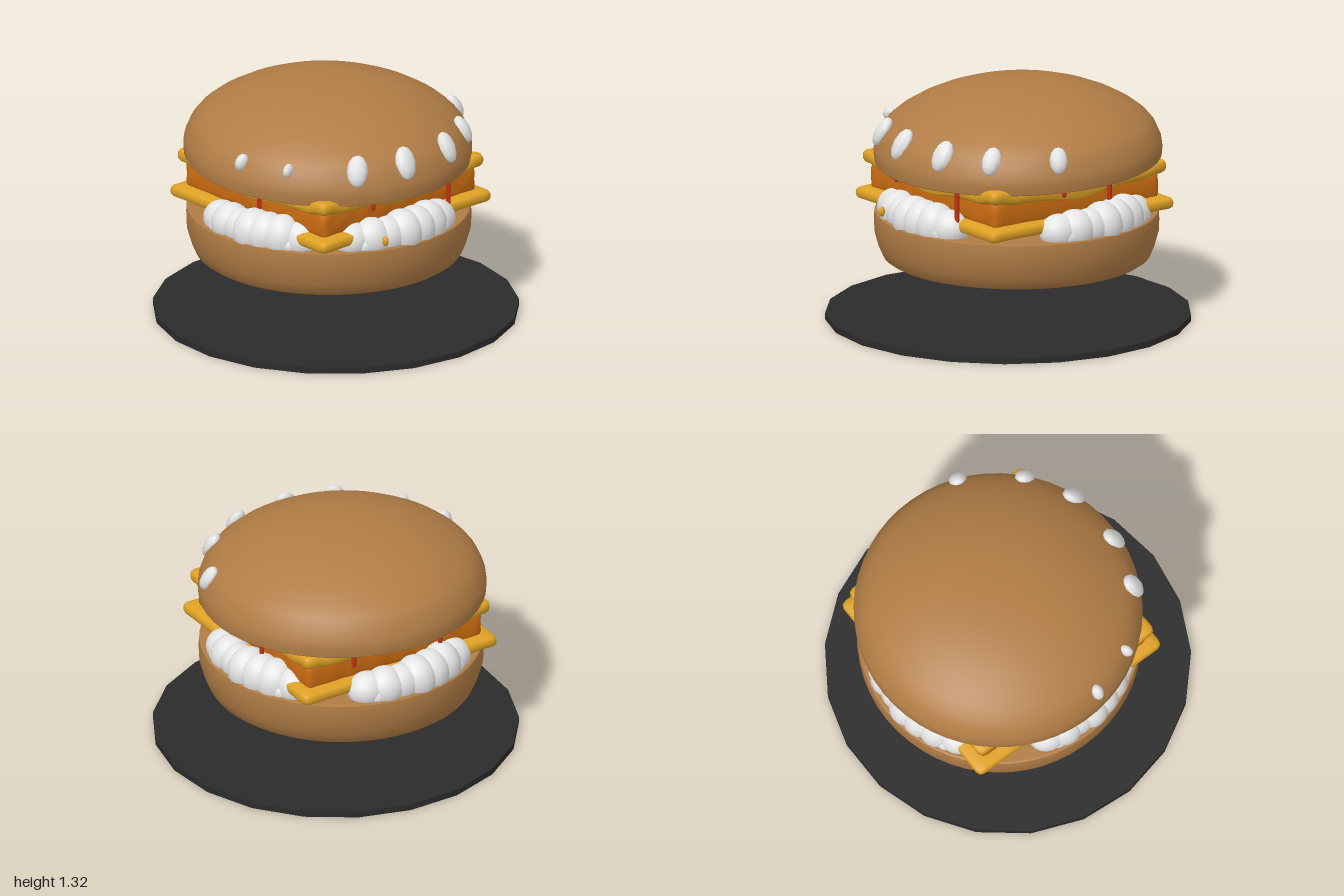
import * as THREE from 'three';
import { mergeVertices } from 'three/addons/utils/BufferGeometryUtils.js';

const mat = (name, color) => Object.assign(new THREE.MeshStandardMaterial({ color }), { name });

// Finely divided box with rounded edges, then bent by a rule on each vertex
function softBox(w, h, d, r, bend) {
  let g = new THREE.BoxGeometry(w, h, d, 36, 4, 36);
  g.deleteAttribute('uv');
  g.deleteAttribute('normal');
  g = mergeVertices(g);
  const p = g.attributes.position;
  const v = new THREE.Vector3();
  const core = new THREE.Vector3();
  const limit = new THREE.Vector3(w / 2 - r, h / 2 - r, d / 2 - r);
  for (let i = 0; i < p.count; i++) {
    v.fromBufferAttribute(p, i);
    core.copy(v).clamp(limit.clone().negate(), limit);
    v.sub(core);
    if (v.length() > 0) v.setLength(r);
    v.add(core);
    bend(v);
    p.setXYZ(i, v.x, v.y, v.z);
  }
  g.computeVertexNormals();
  return g;
}

const lathe = pts => new THREE.LatheGeometry(pts.map(([x, y]) => new THREE.Vector2(x, y)), 56);

export function createModel() {
  const model = new THREE.Group();
  const bun = mat('toasted bun', 0xb07c45);
  const cheese = mat('yellow cheese', 0xdda024);
  const patty = mat('orange patty', 0xcb6c10);
  const cream = mat('white cream', 0xe4e4e4);
  const sauce = mat('red sauce', 0xc03212);
  const black = mat('black plate', 0x2b2b2b);

  const add = (name, geo, material, x = 0, y = 0, z = 0, parent = model) => {
    const m = new THREE.Mesh(geo, material);
    m.name = name;
    m.position.set(x, y, z);
    parent.add(m);
    return m;
  };
  const group = (name, parent = model) => {
    const g = new THREE.Group();
    g.name = name;
    parent.add(g);
    return g;
  };

  // Plate
  add('plate', new THREE.CylinderGeometry(1, 1, 0.035, 21), black, 0, 0.0175, 0);

  // Bottom bun and its pale underside
  add('bottomBun', lathe([[0, 0.33], [0.68, 0.33], [0.7, 0.332], [0.73, 0.352], [0.755, 0.41],
    [0.775, 0.48], [0.778, 0.55], [0.775, 0.594], [0.772, 0.6], [0.76, 0.601], [0, 0.601]]), bun, 0, 0, -0.057);
  add('bunUnderside', new THREE.CylinderGeometry(0.64, 0.64, 0.008, 40), cream, 0, 0.33, -0.057);

  // Top bun, tipped slightly forward, with seeds
  const topBun = add('topBun', lathe([[0, 0], [0.775, 0], [0.782, 0], [0.785, 0.005], [0.788, 0.05], [0.783, 0.09],
    [0.755, 0.16], [0.72, 0.205], [0.66, 0.255], [0.57, 0.308], [0.48, 0.348], [0.38, 0.382],
    [0.26, 0.408], [0.13, 0.421], [0, 0.424]]), bun, 0, 0.893, -0.067);
  topBun.rotation.x = 0.03;
  const seeds = group('seeds');
  [[-0.74, 0.05, 0.55], [-0.645, 0.32, 0.45], [-0.37, 0.58, 1], [-0.09, 0.66, 1.05],
    [0.24, 0.635, 1], [0.49, 0.49, 0.9], [0.7, 0.19, 0.85]].forEach(([x, z, s]) => {
    const seed = add('seed', new THREE.SphereGeometry(1, 9, 6), cream, x, 1.06, z, seeds);
    seed.rotation.order = 'YXZ';
    seed.rotation.set(-0.5, Math.atan2(x, z + 0.065), -0.15);
    seed.scale.set(0.06 * s, 0.09 * s, 0.04);
  });

  // Cheese slices and patty
  const cz = -0.043;
  add('lowerCheese', softBox(1.255, 0.072, 1.255, 0.034, v => {
    v.y += 0.006 * Math.cos(v.x * 7) * Math.cos(v.z * 7);
  }), cheese, 0, 0.664, cz);
  add('patty', softBox(1.13, 0.17, 1.13, 0.03, v => {
    const k = 1 + 0.006 * Math.sin(v.x * 41 + v.y * 60) * Math.sin(v.z * 37 + v.y * 45);
    v.x *= k;
    v.z *= k;
  }), patty, 0, 0.763, cz);
  add('upperCheese', softBox(1.2, 0.08, 1.2, 0.036, v => {
    const along = Math.min(Math.abs(v.x), Math.abs(v.z));
    const edge = Math.max(Math.abs(v.x), Math.abs(v.z)) / 0.6;
    const dip = 0.036 * Math.exp(-((along / 0.2) ** 2));
    const corner = 0.022 * THREE.MathUtils.smoothstep(along, 0.44, 0.54);
    v.y += (corner - dip * (v.y < 0 ? 1.2 : 0.5)) * edge ** 4;
  }), cheese, 0, 0.854, cz);

  // Cream: a base layer and a lumpy bulge on each side
  add('creamBase', new THREE.CylinderGeometry(0.55, 0.55, 0.05, 32), cream, 0, 0.622, cz);
  const ball = new THREE.SphereGeometry(1, 20, 14);
  const sides = [['front', 0, -0.34, 0.22], ['left', Math.PI / 2, -0.19, 0.37],
    ['back', Math.PI, -0.23, 0.35], ['right', -Math.PI / 2, -0.16, 0.37]];
  const lumps = [[0.1, 0.1], [0.112, 0.115], [0.1, 0.108], [0.122, 0.13], [0.118, 0.128], [0.115, 0.13], [0.102, 0.105]];
  sides.forEach(([name, turn, from, to]) => {
    const g = group(name + 'Cream');
    g.position.z = -0.055;
    g.rotation.y = turn;
    lumps.forEach(([r, h], i) => {
      const x = THREE.MathUtils.lerp(from, to, i / 6);
      const z = Math.sqrt(0.66 ** 2 - x * x);
      add('creamLump', ball, cream, x, 0.636, z, g).scale.set(0.112, h, r);
    });
    // Small runs over the bun edge
    [from + 0.03, to - 0.02].forEach(x =>
      add('creamRun', ball, cream, x, 0.615, Math.sqrt(0.715 ** 2 - x * x), g).scale.set(0.055, 0.05, 0.045));
  });
  add('cheeseFleck', ball, cheese, -0.25, 0.65, 0.675).scale.set(0.016, 0.028, 0.02);

  // Cream clinging under the raised back of the top bun
  const under = group('upperCream');
  for (let i = 0; i < 8; i++) {
    const a = 1.9 + i * 0.3;
    add('upperCreamLump', new THREE.SphereGeometry(1, 9, 6), cream, Math.sin(a) * 0.62,
      0.893 - Math.cos(a) * 0.018, -0.067 + Math.cos(a) * 0.62, under)
      .scale.set(0.1 + 0.02 * (i % 2), 0.018, 0.09);
  }

  // Sauce drips: x, z, bottom, top
  const drips = group('sauceDrips');
  [[0.3, 0.58, 0.68, 0.9], [-0.25, 0.575, 0.8, 0.9], [0.62, 0.09, 0.82, 0.92], [0.62, -0.22, 0.72, 0.92],
    [0.3, -0.65, 0.78, 0.93], [-0.26, -0.65, 0.72, 0.93], [-0.61, 0.05, 0.74, 0.92], [-0.61, -0.25, 0.8, 0.92]]
    .forEach(([x, z, lo, hi]) =>
      add('sauceDrip', new THREE.CapsuleGeometry(0.013, hi - lo - 0.026, 4, 8), sauce, x, (lo + hi) / 2, z, drips));

  return model;
}
